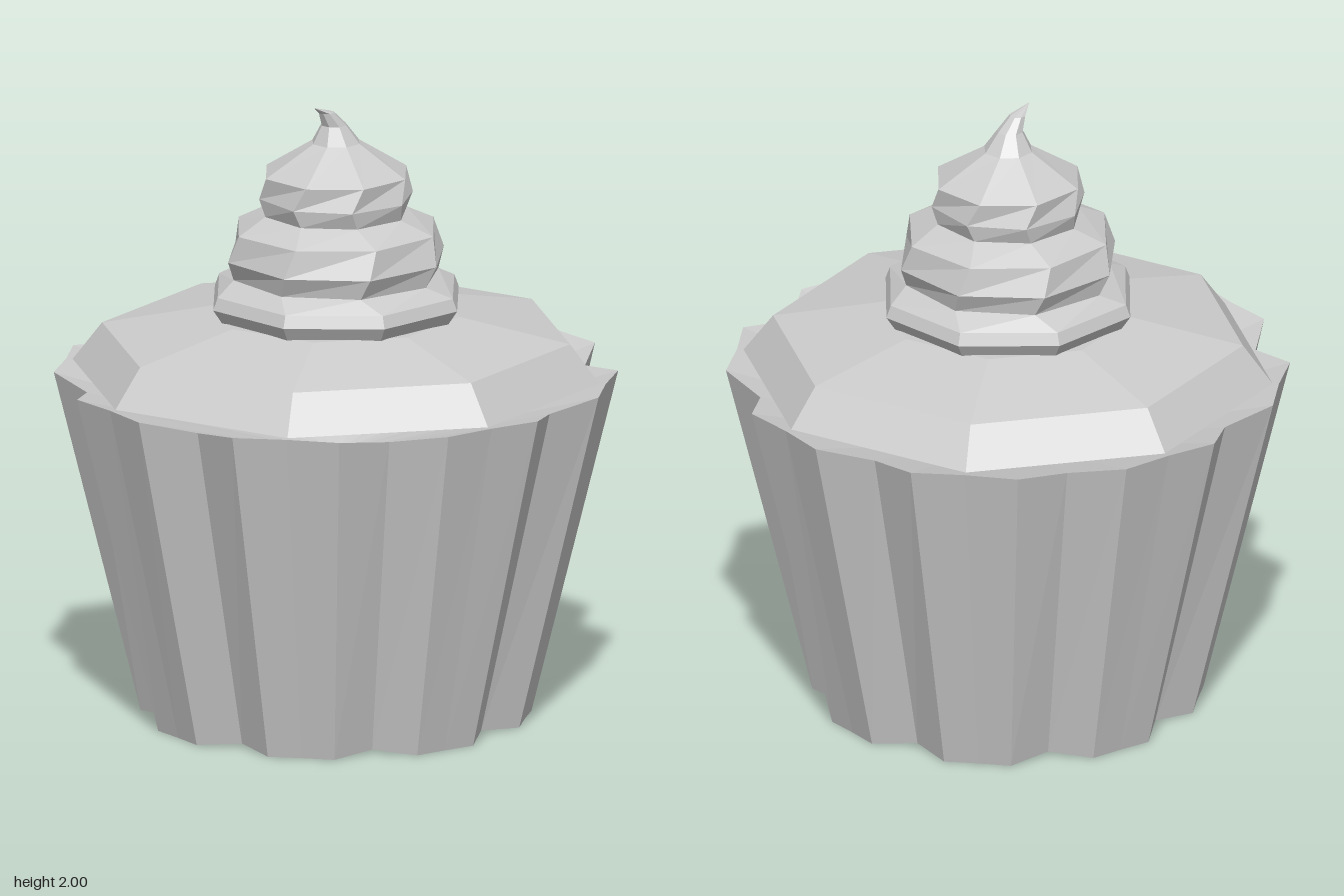
import * as THREE from 'three';

// Joins rings of points (listed bottom to top) with faces; the ends close on centre points.
function loft(name, rings, bottom, top) {
  const n = rings[0].length;
  const pos = [...bottom, ...rings.flat(2), ...top];
  const last = rings.length * n + 1;
  const id = (r, i) => 1 + r * n + (i % n);
  const index = [];
  for (let i = 0; i < n; i++) {
    index.push(0, id(0, i), id(0, i + 1));
    for (let r = 0; r < rings.length - 1; r++) {
      const a = id(r, i), b = id(r, i + 1), c = id(r + 1, i), d = id(r + 1, i + 1);
      index.push(a, c, b, b, c, d);
    }
    index.push(id(rings.length - 1, i), last, id(rings.length - 1, i + 1));
  }
  const indexed = new THREE.BufferGeometry();
  indexed.setAttribute('position', new THREE.Float32BufferAttribute(pos, 3));
  indexed.setIndex(index);
  const geometry = indexed.toNonIndexed();
  geometry.computeVertexNormals();
  const material = new THREE.MeshStandardMaterial({ color: 0xcccccc, flatShading: true });
  const mesh = new THREE.Mesh(geometry, material);
  mesh.name = name;
  return mesh;
}

// Eight-sided ring, turned by some degrees and shifted sideways.
function octagon(radius, y, turn = 0, cx = 0, cz = 0) {
  return Array.from({ length: 8 }, (_, i) => {
    const a = THREE.MathUtils.degToRad(turn + i * 45);
    return [cx + radius * Math.cos(a), y, cz + radius * Math.sin(a)];
  });
}

// Fluted ring: each of the eight flutes has a middle, two corners and a valley.
function flutedRing(middle, corner, valley, y, valleyY, cornerAngle) {
  const points = [];
  for (let i = 0; i < 8; i++) {
    const steps = [
      [0, middle, y], [cornerAngle, corner, y],
      [22.5, valley, valleyY], [45 - cornerAngle, corner, y],
    ];
    for (const [turn, r, h] of steps) {
      const a = THREE.MathUtils.degToRad(i * 45 + turn);
      points.push([r * Math.cos(a), h, r * Math.sin(a)]);
    }
  }
  return points;
}

export function createModel() {
  const model = new THREE.Group();
  model.name = 'cupcake';

  // Pleated paper cup with a hollowed base and a dished top
  model.add(loft('paperCup', [
    flutedRing(0.61, 0.622, 0.55, 0, 0.012, 10),
    flutedRing(0.873, 0.898, 0.81, 1.115, 1.09, 11.1),
  ], [0, 0.1, 0], [0, 0.85, 0]));

  // Wide bevelled layer of icing
  model.add(loft('icingBase', [
    octagon(0.852, 1.115),
    octagon(0.757, 1.24),
    octagon(0.4, 1.313),
  ], [0, 1.0, 0], [0, 1.315, 0]));

  // Three twisted tiers: radius, height, turn
  const tiers = [
    [0.39, 1.31, 13], [0.42, 1.355, 13], [0.405, 1.395, 13],
    [0.335, 1.435, 21], [0.36, 1.5, 17], [0.335, 1.59, 12],
    [0.235, 1.64, 18], [0.25, 1.695, 22.5], [0.24, 1.77, 13],
    [0.08, 1.87, 10],
  ].map((t) => octagon(...t));

  // Bent tip
  tiers.push(octagon(0.042, 1.93, 10, -0.005, 0.01));
  tiers.push(octagon(0.026, 1.975, 10, -0.025, 0.035));
  model.add(loft('icingSwirl', tiers, [0, 1.3, 0], [-0.055, 2.0, 0.085]));

  return model;
}
